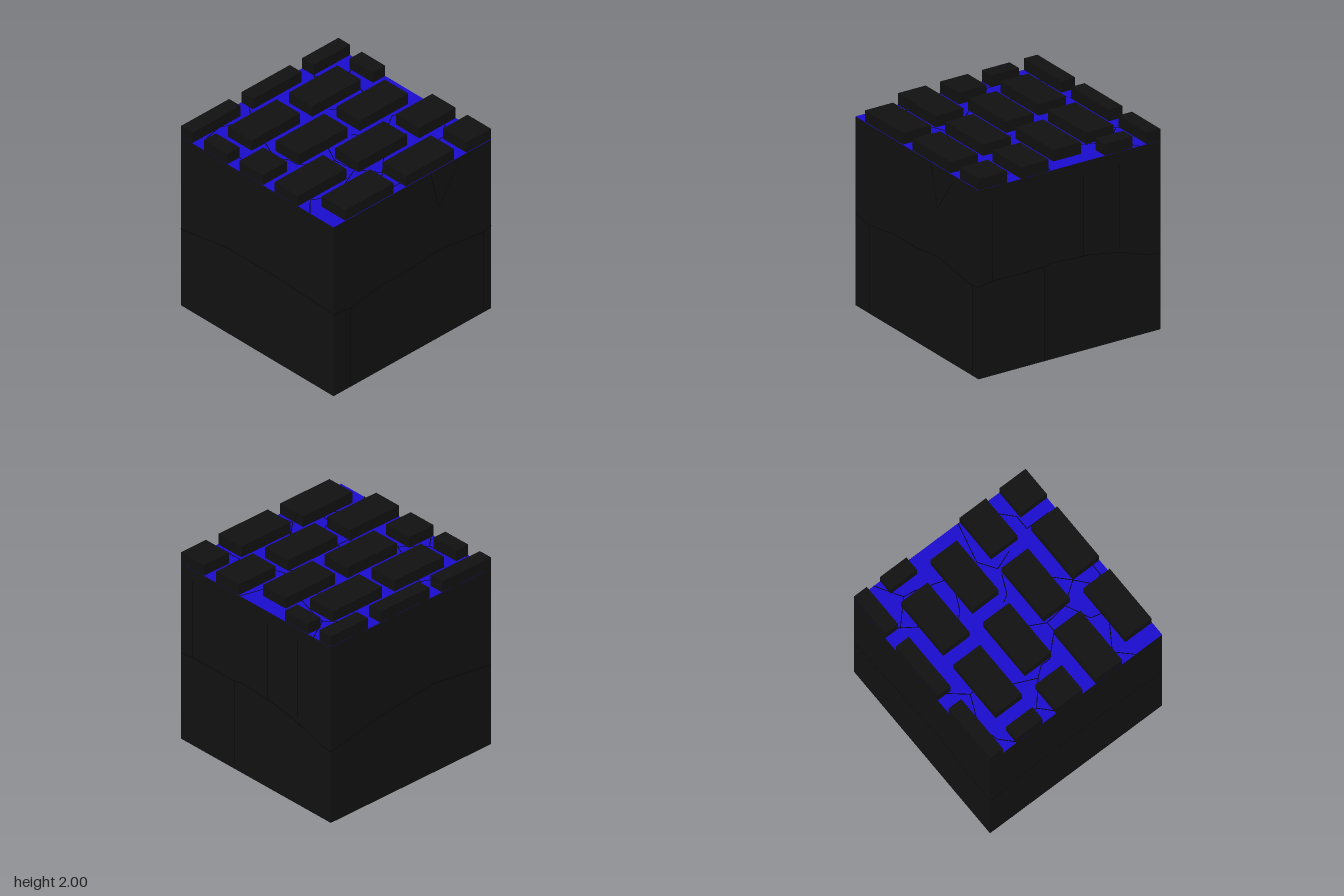
import * as THREE from 'three';

const FLOOR = 1.885; // height of the mortar grooves
const dark = new THREE.MeshStandardMaterial({ color: 0x111111 });
const blue = new THREE.MeshStandardMaterial({ color: 0x1a0ccc });
const black = new THREE.MeshStandardMaterial({ color: 0x020202 });

function box(name, x0, x1, y0, y1, z0, z1, material) {
  const mesh = new THREE.Mesh(new THREE.BoxGeometry(x1 - x0, y1 - y0, z1 - z0), material);
  mesh.position.set((x0 + x1) / 2, (y0 + y1) / 2, (z0 + z1) / 2);
  mesh.name = name;
  return mesh;
}

// thin dark line through a list of points, almost flush with the surface
function crack(points, width = 0.007) {
  const group = new THREE.Group();
  group.name = 'crack';
  for (let i = 1; i < points.length; i++) {
    const a = new THREE.Vector3(...points[i - 1]);
    const b = new THREE.Vector3(...points[i]);
    const line = new THREE.Mesh(new THREE.BoxGeometry(width, 0.002, a.distanceTo(b)), black);
    line.position.copy(a).add(b).multiplyScalar(0.5);
    // keep the flat side of the strip facing out of the surface it lies on
    const flat = Math.abs(a.y - b.y) < 1e-6 && Math.abs(a.y - FLOOR) < 1e-6;
    const onX = Math.abs(a.x) === 1 && a.x === b.x;
    line.up.set(!flat && onX ? 1 : 0, flat ? 1 : 0, !flat && !onX ? 1 : 0);
    line.lookAt(b);
    group.add(line);
  }
  return group;
}

export function createModel() {
  const model = new THREE.Group();
  model.name = 'brickBlock';

  // solid block with the coloured groove floor on top
  model.add(box('body', -1, 1, 0, FLOOR - 0.002, -1, 1, dark));
  model.add(box('mortarFloor', -1, 1, FLOOR - 0.002, FLOOR, -1, 1, blue));

  // running-bond bricks, trimmed at the edges of the block
  const bricks = new THREE.Group();
  bricks.name = 'bricks';
  const length = 0.615, pitch = 0.77, depth = 0.306, rowPitch = 0.4615;
  const rowStarts = [-1.002, -0.695, -0.54, -1.002, -0.85];
  rowStarts.forEach((start, row) => {
    const back = -1.156 + row * rowPitch;
    for (let n = -1; n < 4; n++) {
      const x0 = Math.max(-1, start + n * pitch);
      const x1 = Math.min(1, start + n * pitch + length);
      if (x1 - x0 < 0.02) continue;
      bricks.add(box('brick', x0, x1, FLOOR, 2, Math.max(-1, back), Math.min(1, back + depth), dark));
    }
  });
  model.add(bricks);

  // cracks across the groove floor, as x, z pairs
  const floorCracks = [
    [-1, -0.68, -0.86, -0.81, -0.65, -0.86, -0.37, -0.73, -0.2, -0.93],
    [-0.37, -0.73, -0.35, -0.6, -0.47, -0.5, -0.63, -0.15],
    [-0.85, -0.54, -0.85, -0.34, -0.63, -0.15, -0.55, -0.05, -0.55, 0.05, -0.36, 0.25, -0.26, 0.25, -0.16, 0.06],
    [-1, -0.2, -0.85, -0.34],
    [-0.26, 0.25, -0.23, 0.48, -0.47, 0.59, -0.51, 0.76, -0.85, 0.54, -1, 0.69],
    [-0.23, 0.48, -0.08, 0.69, -0.22, 0.81, -0.2, 0.92, 0.55, 0.92],
    [-0.08, 0.69, 0.1, 0.52],
    [0.14, 0.06, 0.18, 0.13, 0.37, 0.22],
    [1, 0.21, 0.6, 0.11, 0.43, 0.22, 0.5, 0.41],
    [0.27, -0.36, 0.33, -0.3, 0.62, -0.16, 0.73, -0.5, 0.75, -0.62, 0.53, -0.83, 0.63, -0.99],
    [0.38, -0.62, 0.53, -0.83],
    [0.75, -0.62, 1, -0.77],
    [0.85, 0.55, 0.72, 0.67, 0.57, 0.67, 0.57, 0.92],
  ];
  for (const flat of floorCracks) {
    const points = [];
    for (let i = 0; i < flat.length; i += 2) points.push([flat[i], FLOOR, flat[i + 1]]);
    model.add(crack(points));
  }

  // wavy crack around the four sides, with upright cracks below and above it
  const front = [[-1, 0.91], [-0.78, 0.88], [-0.38, 0.94], [0, 0.94], [0.33, 0.98], [0.7, 0.92], [0.9, 0.9], [1, 0.92]];
  const side = [[1, 0.92], [0.85, 0.94], [0.28, 0.94], [0.2, 0.96], [-0.2, 0.94], [-0.55, 0.88], [-0.85, 0.78], [-1, 0.76]];
  const rear = [[1, 0.76], [0.4, 0.88], [-0.3, 0.95], [-1, 0.85]];
  const left = [[-1, 0.85], [-0.4, 0.95], [0.3, 0.95], [1, 0.91]];
  const onFront = ([x, y]) => [x, y, 1];
  const onSide = ([z, y]) => [1, y, z];
  model.add(crack(front.map(onFront), 0.005));
  model.add(crack(side.map(onSide), 0.005));
  model.add(crack(rear.map(([x, y]) => [x, y, -1]), 0.005));
  model.add(crack(left.map(([z, y]) => [-1, y, z]), 0.005));
  model.add(crack([[-0.78, 0], [-0.78, 0.88]].map(onFront), 0.005));
  model.add(crack([[0.9, 0], [0.9, 0.9]].map(onFront), 0.005));
  model.add(crack([[0.23, 1.88], [0.33, 1.46], [0.6, 1.83]].map(onFront), 0.005));
  model.add(crack([[0.28, 0], [0.28, 0.94]].map(onSide), 0.005));
  for (const z of [0.85, -0.15, -0.55]) {
    model.add(crack([[z, 0.93], [z, 1.75]].map(onSide), 0.005));
  }
  return model;
}
